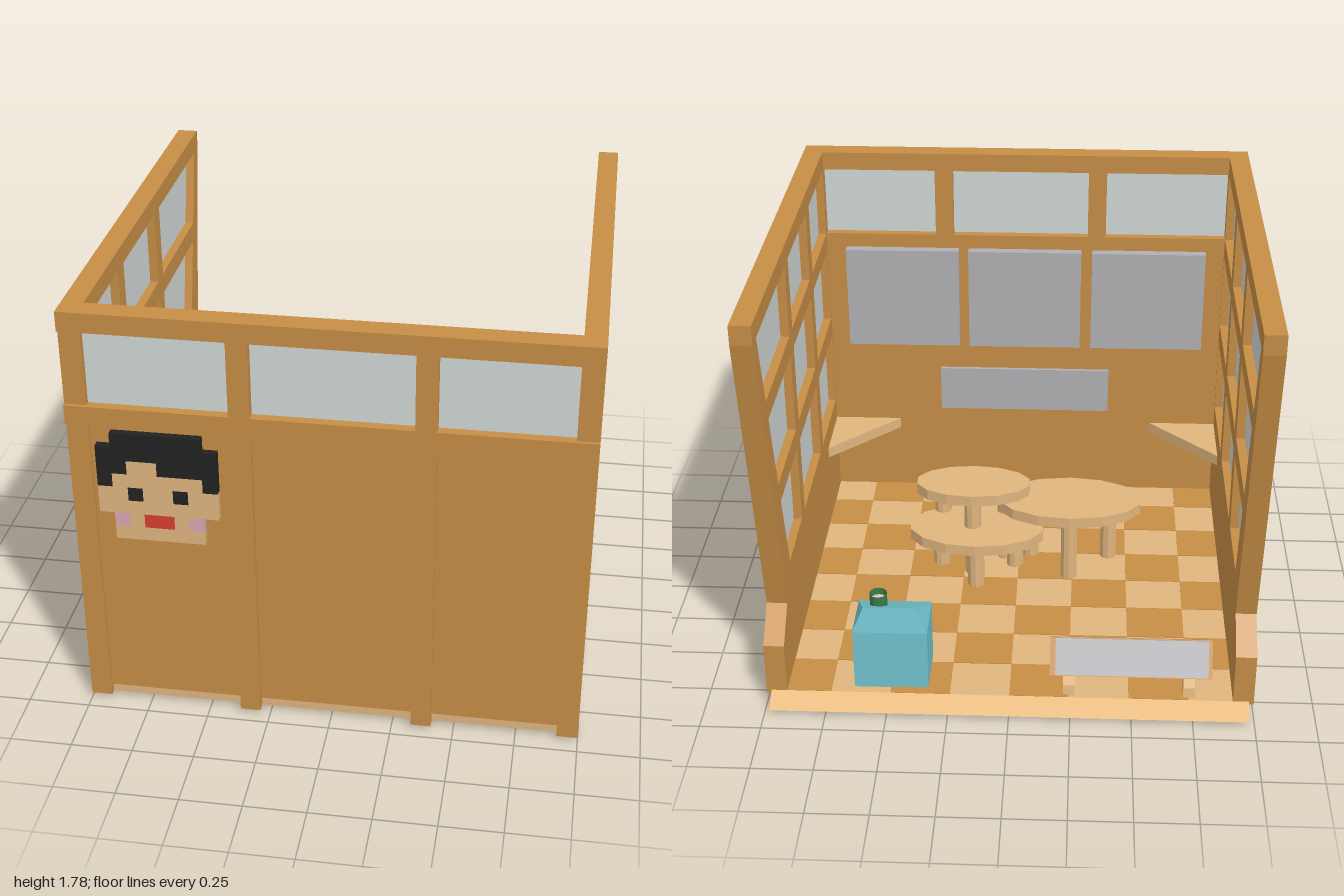
import * as THREE from 'three';
import { mergeGeometries } from 'three/addons/utils/BufferGeometryUtils.js';
import { ConvexGeometry } from 'three/addons/geometries/ConvexGeometry.js';

const WOOD = 0xc68d46, TAN = 0xdfb57e, GLASS = 0xd0d7d5, GREY = 0xb0b0b4;
const DARK = 0x222222, BLUE = 0x72c2cf, GREEN = 0x3c7a4a;

export function createModel() {
  const model = new THREE.Group();
  const mats = {};
  const mat = (color) => (mats[color] ??= new THREE.MeshStandardMaterial({ color, flatShading: true }));
  const add = (name, geo, color, parent = model) => {
    const mesh = new THREE.Mesh(geo, mat(color));
    mesh.name = name;
    parent.add(mesh);
    return mesh;
  };
  const group = (name) => {
    const g = new THREE.Group();
    g.name = name;
    model.add(g);
    return g;
  };
  // Box given by its limits
  const boxGeo = (x0, x1, y0, y1, z0, z1) =>
    new THREE.BoxGeometry(x1 - x0, y1 - y0, z1 - z0).translate((x0 + x1) / 2, (y0 + y1) / 2, (z0 + z1) / 2);
  const vecs = (pts) => pts.map(([a, b]) => new THREE.Vector2(a, b));
  // Outline of [z, y] points extruded from x0 to x1
  const prism = (pts, x0, x1, holes = []) => {
    const shape = new THREE.Shape(vecs(pts));
    holes.forEach((h) => shape.holes.push(new THREE.Path(vecs(h))));
    return new THREE.ExtrudeGeometry(shape, { depth: x1 - x0, bevelEnabled: false })
      .rotateY(-Math.PI / 2).translate(x1, 0, 0);
  };

  // Floor slab, checker tiles and entrance ramp
  const floor = group('floor');
  add('floorSlab', boxGeo(-0.98, 0.98, 0.02, 0.058, -0.825, 0.915), TAN, floor);
  const tiles = [];
  for (let row = 0; row < 8; row++) {
    for (let col = 0; col < 8; col++) {
      if ((row + col) % 2 === 0) continue;
      const x = (col - 4) * 0.2445, z = -0.825 + row * 0.2165;
      tiles.push(boxGeo(Math.max(x, -0.915), Math.min(x + 0.2445, 0.915), 0.05, 0.061, z, Math.min(z + 0.2165, 0.87)));
    }
  }
  add('darkTiles', mergeGeometries(tiles), WOOD, floor);
  add('entranceRamp', prism([[-0.825, 0.02], [-0.825, 0.06], [-0.91, 0.02]], -0.98, 0.98), 0xe6b87a, floor);

  // Side walls with a leaning back edge and nine windows each
  const outline = [
    [0.94, 0.02], [0.94, 1.78], [-0.955, 1.78], [-0.955, 1.7], [-0.69, 0.4], [-0.825, 0.28], [-0.825, 0.045],
    [-0.235, 0.045], [-0.235, 0.02], [-0.155, 0.02], [-0.155, 0.045],
    [0.333, 0.045], [0.333, 0.02], [0.415, 0.02], [0.415, 0.045], [0.855, 0.045], [0.855, 0.02],
  ];
  const slant = (y) => -0.565 - 0.272 * (y - 0.525);
  const holes = [];
  for (const [y0, y1] of [[0.525, 0.87], [0.96, 1.305], [1.39, 1.7]]) {
    holes.push([[0.855, y0], [0.855, y1], [0.415, y1], [0.415, y0]]);
    holes.push([[0.333, y0], [0.333, y1], [-0.155, y1], [-0.155, y0]]);
    holes.push([[-0.235, y0], [-0.235, y1], [slant(y1), y1], [slant(y0), y0]]);
  }
  const pane = [[0.89, 0.5], [0.89, 1.72], [-0.92, 1.72], [-0.6, 0.5]];
  for (const [side, x0] of [['left', 0.915], ['right', -1]]) {
    const wall = group(side + 'Wall');
    add(side + 'Frame', prism(outline, x0, x0 + 0.085, holes), WOOD, wall);
    add(side + 'Glass', prism(pane, x0 + 0.036, x0 + 0.049), GLASS, wall);
  }

  // Front wall: beams, posts, panel and upper windows
  const front = group('frontWall');
  for (const [y0, y1] of [[1.305, 1.39], [1.7, 1.78]]) {
    add('beam', boxGeo(-1, 1, y0, y1, 0.865, 0.955), WOOD, front);
  }
  for (const x of [-0.37, 0.328]) add('post', boxGeo(x, x + 0.082, 0.02, 1.74, 0.866, 0.954), WOOD, front);
  add('panel', boxGeo(-0.93, 0.93, 0.06, 1.35, 0.867, 0.922), WOOD, front);
  add('frontGlass', boxGeo(-0.93, 0.93, 1.37, 1.72, 0.903, 0.916), GLASS, front);

  // Boards hung on the inside of the front wall
  const boards = group('wallBoards');
  for (const x of [-0.57, 0, 0.565]) add('board', boxGeo(x - 0.26, x + 0.26, 0.845, 1.325, 0.822, 0.868), GREY, boards);
  add('lowBoard', boxGeo(-0.4, 0.4, 0.495, 0.71, 0.85, 0.868), GREY, boards);

  // Pixel face on the front panel
  const face = group('pixelFace');
  const colors = { H: DARK, S: TAN, R: 0xd8402f, P: 0xd8a8b4 };
  const rows = ['.HHHHHH.', 'HHHHHHHH', 'HHSSHHHH', 'HSSSSSSH', 'SSHSSHSS', 'SSSSSSSS', '.PSRRSP.', '.SSSSSS.'];
  const names = { H: 'hairAndEyes', S: 'skin', R: 'mouth', P: 'cheeks' };
  const px = 0.0588;
  for (const key of Object.keys(colors)) {
    const cells = [];
    rows.forEach((line, r) => [...line].forEach((c, i) => {
      const x = -0.893 + i * px, y = 1.282 - r * px;
      if (c === key) cells.push(boxGeo(x, x + px, y - px, y, 0.905, 0.953));
    }));
    add(names[key], mergeGeometries(cells), colors[key], face);
  }

  // Triangular corner shelves
  for (const s of [-1, 1]) {
    const pts = [[0.92, 0.87], [0.92, 0.55], [0.6, 0.87]].map(([x, z]) => [s * x, -z]);
    const geo = new THREE.ExtrudeGeometry(new THREE.Shape(vecs(pts)), { depth: 0.05, bevelEnabled: false });
    add('cornerShelf', geo.rotateX(-Math.PI / 2).translate(0, 0.375, 0), TAN);
  }

  // Three oval tables on round legs
  for (const [x, z, rx, rz, top] of [
    [-0.23, 0.19, 0.325, 0.18, 0.4], [0.185, 0.1, 0.305, 0.18, 0.3], [0.205, 0.185, 0.258, 0.137, 0.48],
  ]) {
    const table = group('ovalTable');
    table.position.set(x, 0, z);
    add('tableTop', new THREE.CylinderGeometry(1, 1, 0.05, 14).scale(rx, 1, rz).translate(0, top - 0.025, 0), TAN, table);
    for (const [lx, lz] of [[0, -0.6], [0.55, 0.38], [-0.55, 0.38]]) {
      const h = top - 0.08;
      add('tableLeg', new THREE.CylinderGeometry(0.038, 0.038, h, 10).translate(lx * rx, 0.05 + h / 2, lz * rz), TAN, table);
    }
  }

  // Blue bin with a sloping lid and a short green tube
  const bin = group('bin');
  const pts = [];
  for (const [x, xt] of [[0.335, 0.385], [0.64, 0.595]]) {
    pts.push([x, 0.058, -0.785], [x, 0.058, -0.555], [x, 0.33, -0.785], [x, 0.33, -0.555], [xt, 0.435, -0.76]);
  }
  add('binBody', new ConvexGeometry(pts.map((p) => new THREE.Vector3(...p))), BLUE, bin);
  const tube = add('tube', new THREE.CylinderGeometry(0.036, 0.036, 0.09, 12, 1, true).translate(0.54, 0.41, -0.68), GREEN, bin);
  tube.material.side = THREE.DoubleSide;
  add('tubeFilling', new THREE.CylinderGeometry(0.034, 0.034, 0.02, 12).translate(0.54, 0.415, -0.68), 0xc8d0b8, bin);

  // Leaning display stand on two triangular feet
  const stand = group('displayStand');
  for (const x of [-0.76, -0.268]) {
    add('foot', prism([[-0.82, 0], [-0.53, 0], [-0.57, 0.03], [-0.7, 0.26], [-0.72, 0.24], [-0.8, 0.1]], x, x + 0.048), TAN, stand);
  }
  const tilted = (name, w, h, d, x, y, z, color) => {
    const mesh = add(name, new THREE.BoxGeometry(w, h, d), color, stand);
    mesh.position.set(x, y, z);
    mesh.rotation.x = 0.55;
  };
  tilted('backBoard', 0.665, 0.16, 0.02, -0.497, 0.2, -0.735, WOOD);
  tilted('displayPanel', 0.625, 0.15, 0.022, -0.5, 0.213, -0.754, GREY);

  return model;
}
